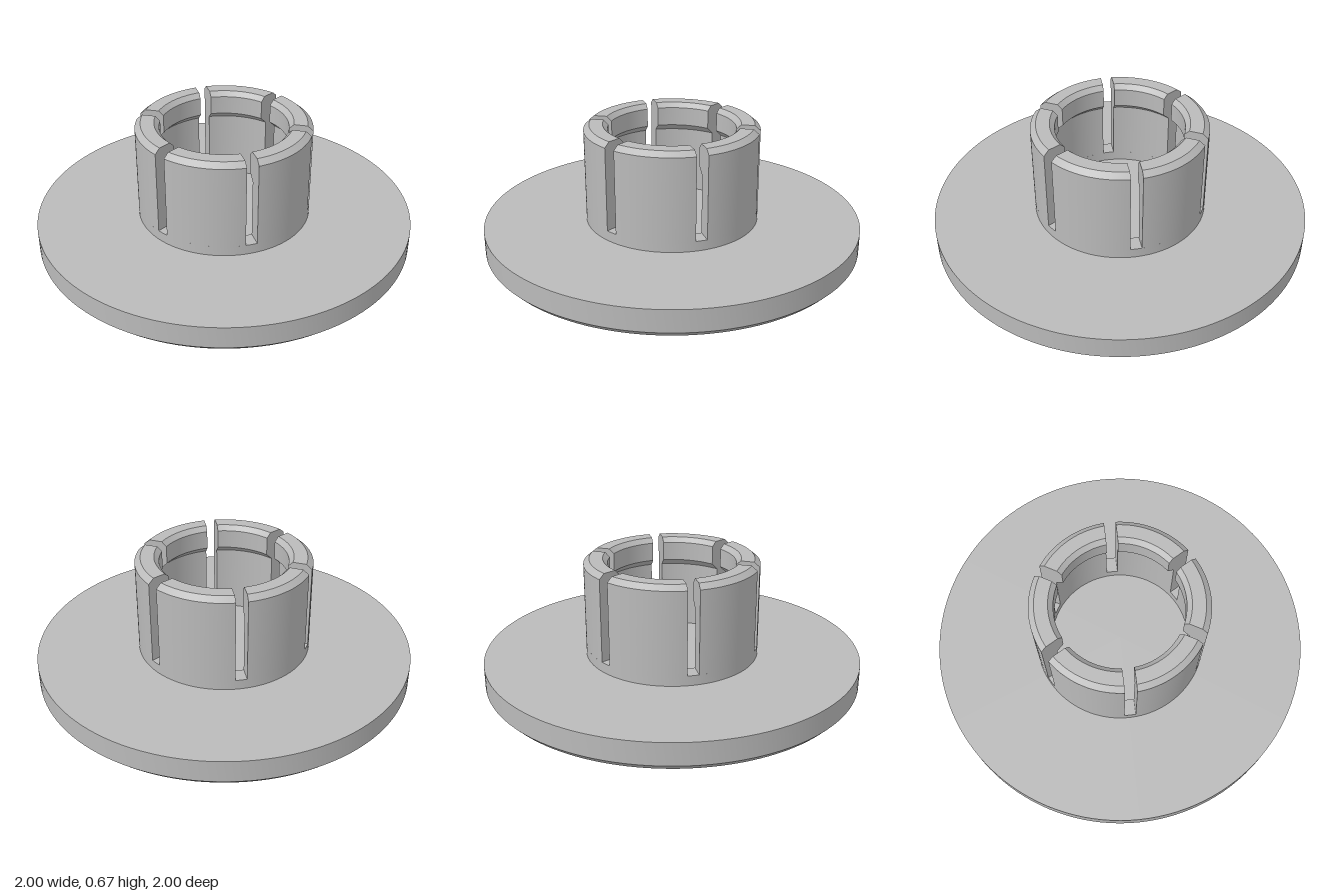
import * as THREE from 'three';
import { toCreasedNormals } from 'three/addons/utils/BufferGeometryUtils.js';

const SLOTS = 6;
const HALF_SLOT = 0.03;
const FLOOR = 0.203; // height of the slot floors

const lathe = (pts) => toCreasedNormals(
  new THREE.LatheGeometry(pts.map(([r, y]) => new THREE.Vector2(r, y)), 128), 0.5);

// One snap finger: a profile swept around the axis, with ends cut parallel to the slots
function fingerGeometry() {
  const profile = [
    [0.46, FLOOR], [0.46, 0.647], [0.43, 0.672], [0.36, 0.672],
    [0.335, 0.647], [0.335, 0.547], [0.375, 0.51], [0.375, FLOOR],
  ].map(([r, y]) => new THREE.Vector2(r, y));
  const steps = 20;
  const pos = [];
  const point = (p, i) => {
    const inset = Math.asin(HALF_SLOT / p.x);
    const a = THREE.MathUtils.lerp(inset, 2 * Math.PI / SLOTS - inset, i / steps);
    return [p.x * Math.cos(a), p.y, p.x * Math.sin(a)];
  };
  const tri = (a, b, c) => pos.push(...a, ...b, ...c);

  // swept faces
  for (let k = 0; k < profile.length; k++) {
    const p = profile[k], q = profile[(k + 1) % profile.length];
    for (let i = 0; i < steps; i++) {
      const a = point(p, i), b = point(p, i + 1), c = point(q, i), d = point(q, i + 1);
      tri(a, c, b);
      tri(b, c, d);
    }
  }
  // slot walls at both ends
  for (const [i, j, k] of THREE.ShapeUtils.triangulateShape(profile, [])) {
    tri(point(profile[k], 0), point(profile[j], 0), point(profile[i], 0));
    tri(point(profile[i], steps), point(profile[j], steps), point(profile[k], steps));
  }
  const g = new THREE.BufferGeometry();
  g.setAttribute('position', new THREE.Float32BufferAttribute(pos, 3));
  return toCreasedNormals(g, 0.5);
}

export function createModel() {
  const group = new THREE.Group();
  group.name = 'snapCap';
  const grey = new THREE.MeshStandardMaterial({ color: 0xbababa });
  grey.name = 'grey plastic';
  const add = (name, geometry) => {
    const mesh = new THREE.Mesh(geometry, grey);
    mesh.name = name;
    group.add(mesh);
    return mesh;
  };

  // wide disc with a chamfered lower edge
  add('flange', lathe([[0, 0], [0.97, 0], [1, 0.032], [1, 0.15], [0, 0.15]]));

  // unbroken ring under the slots
  add('collar', lathe([[0.46, 0.15], [0.46, FLOOR], [0.375, FLOOR], [0.375, 0.15]]));

  // six fingers with an inner lip
  const finger = fingerGeometry();
  for (let i = 0; i < SLOTS; i++) {
    add(`finger${i + 1}`, finger).rotation.y = i * 2 * Math.PI / SLOTS;
  }
  return group;
}
